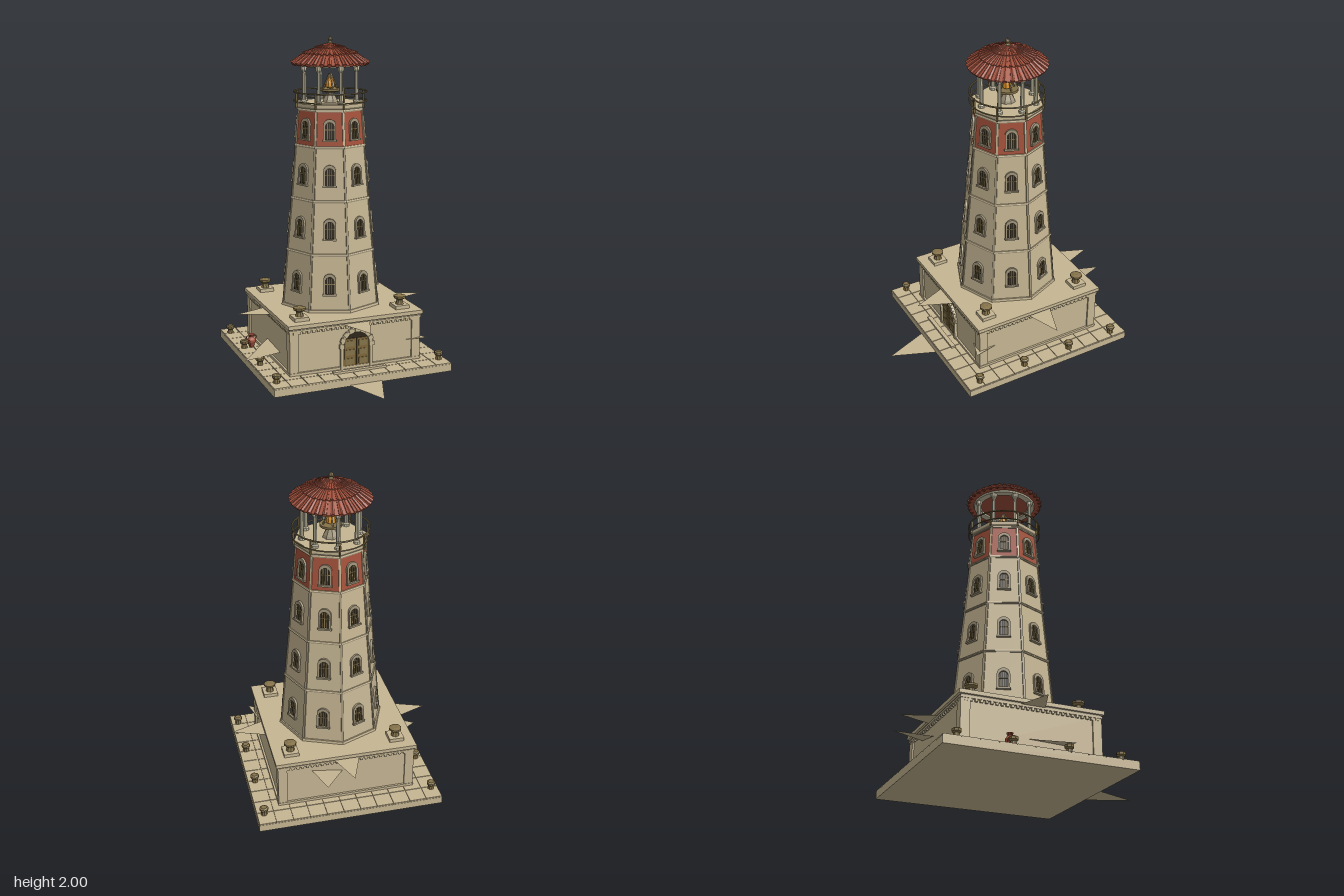
import * as THREE from 'three';

const mat = (name, color, side = THREE.FrontSide) => {
  const m = new THREE.MeshStandardMaterial({ color, side, flatShading: true });
  m.name = name;
  return m;
};

export function createModel() {
  const stone = mat('sandstone', 0xc6b693, THREE.DoubleSide);
  const trim = mat('weathered trim', 0xa0947a);
  const pale = mat('pale column stone', 0xc4bda2);
  const red = mat('red plaster', 0xa6523c);
  const tile = mat('roof tile', 0xa04f3a);
  const dark = mat('dark opening', 0x2c2519);
  const bronze = mat('bronze', 0x85734a);
  const wood = mat('door wood', 0x7d6639);
  const flameMat = mat('flame', 0xe0962c);
  const mortar = mat('mortar', 0x82775c);

  const root = new THREE.Group();
  root.name = 'lighthouse';
  root.position.set(-0.007, 0, -0.11);

  const add = (parent, name, geo, m, x = 0, y = 0, z = 0) => {
    const mesh = new THREE.Mesh(geo, m);
    mesh.name = name;
    mesh.position.set(x, y, z);
    parent.add(mesh);
    return mesh;
  };
  const group = (parent, name, x = 0, y = 0, z = 0, ry = 0) => {
    const g = new THREE.Group();
    g.name = name;
    g.position.set(x, y, z);
    g.rotation.y = ry;
    parent.add(g);
    return g;
  };
  const box = (p, name, m, w, h, d, x, y, z) => add(p, name, new THREE.BoxGeometry(w, h, d), m, x, y, z);
  // Square or octagonal layer between two heights
  const slab = (name, m, half, y0, y1) => box(root, name, m, half * 2, y1 - y0, half * 2, 0, (y0 + y1) / 2, 0);
  const octagon = (name, m, r0, r1, y0, y1) =>
    add(root, name, new THREE.CylinderGeometry(r1, r0, y1 - y0, 8), m, 0, (y0 + y1) / 2, 0);
  const lathe = (pts, n) => new THREE.LatheGeometry(pts.map(([r, y]) => new THREE.Vector2(r, y)), n);
  const arch = (w, h, path = new THREE.Shape()) => {
    path.moveTo(-w / 2, 0);
    path.lineTo(w / 2, 0);
    path.lineTo(w / 2, h - w / 2);
    path.absarc(0, h - w / 2, w / 2, 0, Math.PI, false);
    path.lineTo(-w / 2, 0);
    return path;
  };
  const extrude = (shape, depth) => new THREE.ExtrudeGeometry(shape, { depth, bevelEnabled: false, curveSegments: 8 });

  // Paved ground slab
  slab('groundSlab', stone, 0.565, 0, 0.044);
  slab('pavingJoints', mortar, 0.561, 0.044, 0.047);
  const pitch = 1.13 / 11;
  const paving = group(root, 'paving');
  const paver = new THREE.BoxGeometry(pitch - 0.004, 0.008, pitch - 0.004);
  for (let i = -5; i <= 5; i++) for (let j = -5; j <= 5; j++) {
    if (Math.max(Math.abs(i), Math.abs(j)) > 3) add(paving, 'paver', paver, stone, i * pitch, 0.048, j * pitch);
  }

  // Podium with corner pilasters, dentils and cornice
  slab('podium', stone, 0.41, 0.04, 0.33);
  slab('podiumFoot', stone, 0.422, 0.05, 0.068);
  slab('cornice', stone, 0.424, 0.318, 0.33);
  slab('corniceShadowLine', trim, 0.418, 0.33, 0.339);
  slab('corniceTop', stone, 0.432, 0.339, 0.362);
  for (const sx of [-1, 1]) for (const sz of [-1, 1])
    box(root, 'cornerPilaster', stone, 0.055, 0.26, 0.055, sx * 0.392, 0.19, sz * 0.392);
  for (let s = 0; s < 4; s++) {
    const side = group(root, 'dentilRow', 0, 0, 0, s * Math.PI / 2);
    for (let i = -13; i <= 13; i++) box(side, 'dentil', stone, 0.016, 0.014, 0.014, i * 0.03, 0.311, 0.415);
  }

  // Arched double door and its step
  const door = group(root, 'door', 0, 0.05, 0.41);
  const surround = arch(0.205, 0.248);
  surround.holes.push(arch(0.168, 0.226, new THREE.Path()));
  add(door, 'doorSurround', extrude(surround, 0.018), stone);
  for (let i = 0; i <= 8; i++) {
    const a = i * Math.PI / 8;
    const v = box(door, 'archStone', stone, 0.026, 0.03, 0.012, 0.096 * Math.cos(a), 0.1455 + 0.096 * Math.sin(a), 0.016);
    v.rotation.z = a - Math.PI / 2;
  }
  add(door, 'doorRecess', extrude(arch(0.17, 0.227), 0.004), dark);
  for (const s of [-1, 1]) {
    box(door, 'doorLeaf', wood, 0.074, 0.175, 0.006, s * 0.041, 0.098, 0.006);
    for (const y of [0.045, 0.1, 0.155]) box(door, 'doorPanel', bronze, 0.052, 0.036, 0.005, s * 0.041, y, 0.01);
  }
  box(root, 'doorStep', stone, 0.34, 0.014, 0.026, 0, 0.058, 0.473);

  // Bollards on the podium and along the slab edges
  const capstan = lathe([[0.026, 0], [0.02, 0.02], [0.02, 0.028], [0.038, 0.04], [0.038, 0.052], [0.014, 0.058], [0, 0.056]], 8);
  for (const sx of [-1, 1]) {
    for (const sz of [-1, 1]) {
      box(root, 'capstanBase', stone, 0.09, 0.022, 0.09, sx * 0.325, 0.373, sz * 0.325);
      add(root, 'capstan', capstan, bronze, sx * 0.325, 0.384, sz * 0.325);
    }
    const bollard = lathe([[0.02, 0], [0.017, 0.026], [0.027, 0.034], [0.027, 0.048], [0.018, 0.054], [0, 0.052]], 8);
    for (const z of [-0.475, -0.16, 0.163, 0.475]) add(root, 'bollard', bollard, bronze, sx * 0.521, 0.05, z);
  }

  // Clay jar
  const jar = group(root, 'jar', -0.474, 0.052, -0.16);
  add(jar, 'jarBody', lathe([[0, 0], [0.012, 0], [0.027, 0.035], [0.027, 0.05], [0.013, 0.068], [0.02, 0.084], [0, 0.08]], 10), red);
  for (const s of [-1, 1]) add(jar, 'jarHandle', new THREE.TorusGeometry(0.012, 0.003, 5, 10), red, s * 0.021, 0.064, 0);

  // Tapered octagonal tower
  const levels = [[0.362, 0.315], [0.71, 0.283], [1.03, 0.252], [1.35, 0.224], [1.565, 0.206]];
  const tilt = 0.084;
  const frameShape = arch(0.076, 0.128);
  frameShape.holes.push(arch(0.05, 0.108, new THREE.Path()));
  const frameGeo = extrude(frameShape, 0.014);
  const paneGeo = extrude(arch(0.054, 0.11), 0.004);
  octagon('towerFoot', stone, 0.325, 0.322, 0.36, 0.378);
  for (let l = 0; l < 4; l++) {
    const [y0, r0] = levels[l], [y1, r1] = levels[l + 1];
    octagon('towerStorey', l === 3 ? red : stone, r0, r1, y0, y1);
    octagon('stringCourse', trim, r1 + 0.006, r1 + 0.006, y1 - 0.008, y1);
    octagon('stringCourseCap', stone, r1 + 0.009, r1 + 0.006, y1, y1 + 0.007);
    const y = [0.47, 0.802, 1.12, 1.39][l];
    const apothem = (r0 + (r1 - r0) * (y - y0) / (y1 - y0)) * Math.cos(Math.PI / 8);
    for (let i = 0; i < 8; i++) {
      // Corner strip
      const corner = group(root, 'towerCorner', 0, 0, 0, i * Math.PI / 4);
      const strip = box(corner, 'cornerStrip', l === 3 ? stone : trim, 0.014, y1 - y0, 0.008, 0, (y0 + y1) / 2, (r0 + r1) / 2 - 0.001);
      strip.rotation.x = -Math.atan2(r0 - r1, y1 - y0);
      // Barred arched window
      const face = group(root, 'towerFace', 0, 0, 0, (i + 0.5) * Math.PI / 4);
      const win = group(face, 'window', 0, y, apothem - 0.001);
      win.rotation.x = -tilt;
      add(win, 'windowFrame', frameGeo, trim);
      add(win, 'windowPane', paneGeo, dark);
      box(win, 'windowSill', trim, 0.084, 0.01, 0.02, 0, 0, 0.009);
      for (const x of [-0.013, 0, 0.013]) box(win, 'windowBar', bronze, 0.004, 0.1, 0.004, x, 0.052, 0.006);
      box(win, 'windowCrossbar', bronze, 0.05, 0.004, 0.004, 0, 0.065, 0.007);
    }
  }

  // Gallery floor, railing and columns
  octagon('galleryMoulding', trim, 0.206, 0.214, 1.565, 1.582);
  octagon('galleryFloor', stone, 0.214, 0.214, 1.582, 1.6);
  for (const [y, t] of [[1.664, 0.005], [1.61, 0.004]]) {
    const rail = add(root, 'galleryRail', new THREE.TorusGeometry(0.221, t, 6, 32), bronze, 0, y, 0);
    rail.rotation.x = Math.PI / 2;
  }
  const column = lathe([[0.02, 0], [0.02, 0.014], [0.013, 0.02], [0.011, 0.185], [0.019, 0.2], [0.019, 0.222]], 8);
  for (let i = 0; i < 8; i++) {
    const bay = group(root, 'galleryBay', 0, 0, 0, i * Math.PI / 4);
    add(bay, 'column', column, pale, 0, 1.6, 0.17);
    box(bay, 'railPost', bronze, 0.009, 0.095, 0.009, 0, 1.62, 0.217);
    box(bay, 'railBracket', bronze, 0.008, 0.008, 0.03, 0, 1.59, 0.21);
  }
  add(root, 'roofRing', lathe([[0.15, 1.818], [0.19, 1.818], [0.195, 1.836], [0.15, 1.836], [0.15, 1.818]], 24), pale);

  // Lamp with fire bowl
  add(root, 'lampPedestal', lathe([[0.05, 1.6], [0.045, 1.615], [0.025, 1.65], [0.03, 1.66]], 8), trim);
  add(root, 'lampBowl', lathe([[0.02, 1.655], [0.066, 1.668], [0.066, 1.682], [0, 1.676]], 12), bronze);
  add(root, 'flame', lathe([[0, 1.678], [0.03, 1.69], [0.026, 1.715], [0.01, 1.755], [0, 1.775]], 8), flameMat);
  for (let i = 0; i < 4; i++) {
    const bar = box(group(root, 'lampCage', 0, 0, 0, i * Math.PI / 2), 'cageBar', bronze, 0.007, 0.1, 0.007, 0, 1.725, 0.026);
    bar.rotation.x = -0.42;
  }

  // Round roof of overlapping tile tiers with raised ridges
  const tiers = [[0.232, 1.832, 0.155, 1.887], [0.163, 1.89, 0.085, 1.922], [0.092, 1.927, 0.012, 1.952]];
  add(root, 'roofUnderside', lathe([[0, 1.845], [0.23, 1.832]].reverse(), 32).scale(1, 1, 1), tile).material = tile;
  add(root, 'roofSoffit', new THREE.CylinderGeometry(0.226, 0.226, 0.006, 32), tile, 0, 1.832, 0);
  const n = 32;
  for (const [r0, y0, r1, y1] of tiers) {
    add(root, 'roofTier', lathe([[r0 - 0.01, y0 - 0.006], [r0, y0 - 0.004], [r0, y0], [r1, y1]], n), tile);
    const len = Math.hypot(r0 - r1, y1 - y0);
    const ridge = new THREE.CylinderGeometry(r1 * 0.06 + 0.0005, r0 * 0.06, len, 6);
    for (let i = 0; i < n; i++) {
      const m = add(group(root, 'tileRow', 0, 0, 0, i * 2 * Math.PI / n), 'ridgeTile', ridge, tile, 0, (y0 + y1) / 2, (r0 + r1) / 2);
      m.rotation.x = -Math.atan2(r0 - r1, y1 - y0);
    }
  }
  add(root, 'finial', lathe([[0.018, 1.944], [0.016, 1.955], [0.007, 1.962], [0.015, 1.972], [0.013, 1.98], [0.005, 1.988], [0, 2]], 8), bronze);

  // Flat stone shards projecting from podium and slab
  const shards = [
    [[0, 0.33, 0.63], [-0.137, 0.33, 0.3], [0.137, 0.33, 0.3]],
    [[0, 0.006, 0.83], [-0.17, 0.006, 0.4], [0.17, 0.006, 0.4]],
    [[0.627, 0.33, 0], [0.3, 0.33, 0.12], [0.3, 0.33, -0.12]],
    [[-0.615, 0.33, 0], [-0.3, 0.33, -0.12], [-0.3, 0.33, 0.12]],
    [[0, 0.33, -0.615], [0.124, 0.33, -0.3], [-0.124, 0.33, -0.3]],
    [[0.16, 0.29, -0.61], [0.22, 0.27, -0.39], [0.01, 0.235, -0.39]],
    [[-0.613, 0.085, 0.16], [-0.4, 0.145, -0.04], [-0.4, 0.135, 0.22]],
    [[0.45, 0.192, 0.455], [0.32, 0.18, 0.41], [0.41, 0.185, 0.3]],
  ];
  for (const pts of shards) {
    const g = new THREE.BufferGeometry().setFromPoints(pts.map(p => new THREE.Vector3(...p)));
    g.computeVertexNormals();
    add(root, 'shard', g, stone);
  }

  const model = new THREE.Group();
  model.name = 'model';
  model.add(root);
  return model;
}
